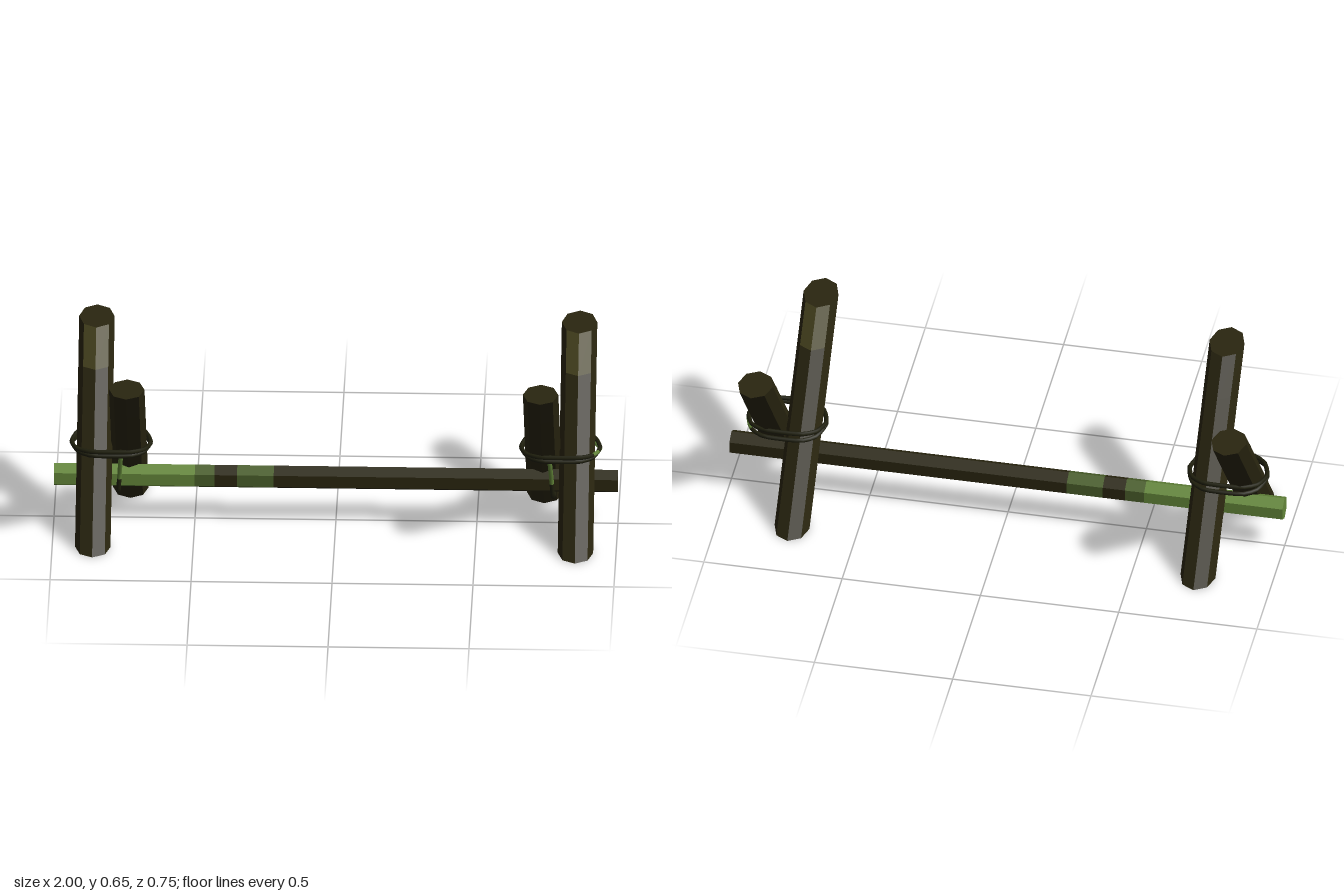
import * as THREE from 'three';

const mat = (name, color) => Object.assign(new THREE.MeshStandardMaterial({ color }), { name });

export function createModel() {
  const model = new THREE.Group();
  model.name = 'logBarrier';
  const bark = mat('darkBark', 0x2a2610);
  const worn = mat('wornBark', 0x48441f);
  const moss = mat('moss', 0x64873a);
  const dullMoss = mat('dullMoss', 0x4a5f2a);
  const rope = mat('rope', 0x1f1f0d);
  const palette = [bark, worn, moss, dullMoss];

  // Closed prism through matching rings; colourOf(segment, side) gives a palette index
  function prism(name, rings, colourOf, caps = [0, 0]) {
    const buckets = palette.map(() => []);
    const n = rings[0].length;
    const tri = (c, ...pts) => pts.forEach((p) => buckets[c].push(...p));
    for (let s = 0; s < rings.length - 1; s++) {
      const [a, b] = [rings[s], rings[s + 1]];
      for (let i = 0; i < n; i++) {
        const j = (i + 1) % n, c = colourOf(s, i);
        tri(c, a[i], a[j], b[j]);
        tri(c, a[i], b[j], b[i]);
      }
    }
    const first = rings[0], last = rings[rings.length - 1];
    for (let i = 1; i < n - 1; i++) {
      tri(caps[0], first[0], first[i + 1], first[i]);
      tri(caps[1], last[0], last[i], last[i + 1]);
    }
    const g = new THREE.BufferGeometry();
    g.setAttribute('position', new THREE.Float32BufferAttribute(buckets.flat(), 3));
    let start = 0;
    buckets.forEach((b, k) => {
      if (b.length) g.addGroup(start, b.length / 3, k);
      start += b.length / 3;
    });
    g.computeVertexNormals();
    const mesh = new THREE.Mesh(g, palette);
    mesh.name = name;
    model.add(mesh);
  }

  // Leaning octagonal log with level ends; lean = z direction of its top
  function log(name, x, lean, patched) {
    const rings = [0, 0.53, 0.652].map((y) =>
      Array.from({ length: 8 }, (_, i) => {
        const a = (i * Math.PI) / 4;
        const dz = 0.085 * Math.cos(a);
        const tilt = y > 0.6 ? 0.003 * lean * Math.cos(a) : 0;
        return [x + 0.063 * Math.sin(a), y + tilt, lean * (0.803 * y - 0.236) + dz];
      }));
    const upper = lean < 0 ? [7, 0] : [3, 4];
    prism(name, rings, (s, i) => (patched && s === 1 && upper.includes(i) ? 1 : 0));
  }
  log('leftOuterLog', 0.856, -1, true);
  log('leftInnerLog', 0.734, 1, true);
  log('rightOuterLog', -0.856, -1, true);
  log('rightInnerLog', -0.734, 1, false);

  // Hexagonal rail, mossy towards one end
  const stops = [-1, -0.5, -0.43, -0.35, -0.22, 1];
  const railColours = [2, 3, 0, 3, 0];
  const rail = stops.map((x) =>
    Array.from({ length: 6 }, (_, i) => {
      const a = (i * Math.PI) / 3;
      return [x, 0.167 + 0.044 * Math.cos(a), -0.002 + 0.044 * Math.sin(a)];
    }));
  prism('rail', rail, (s) => railColours[s], [2, 0]);

  // Closed rope loop; isGreen(u) marks its mossy stretch
  function loop(name, points, radius, isGreen = () => false) {
    const segments = 32, sides = 6;
    const curve = new THREE.CatmullRomCurve3(points, true, 'catmullrom', 0.3);
    const g = new THREE.TubeGeometry(curve, segments, radius, sides, true);
    for (let s = 0; s < segments; s++) {
      g.addGroup(s * sides * 6, sides * 6, isGreen((s + 0.5) / segments) ? 1 : 0);
    }
    const mesh = new THREE.Mesh(g, [rope, moss]);
    mesh.name = name;
    model.add(mesh);
  }

  // Lashings around each crossing and a tie holding the rail below it
  const outline = [[0.14, 0], [0.118, 0.068], [0.065, 0.1], [-0.065, 0.1], [-0.118, 0.068],
    [-0.14, 0], [-0.118, -0.068], [-0.065, -0.1], [0.065, -0.1], [0.118, -0.068]];
  const tieProfile = [[0.3, 0.098], [0.2, 0.06], [0.13, 0.047], [0.107, 0], [0.106, -0.03],
    [0.14, -0.054], [0.2, -0.05], [0.215, -0.03], [0.29, -0.01]];
  for (const side of [1, -1]) {
    const label = side > 0 ? 'left' : 'right';
    const ring = (y, slope) => outline.map(([x, z]) =>
      new THREE.Vector3(side * (0.797 + x), y + slope * z, z));
    loop(label + 'LashingA', ring(0.295, 0.13), 0.008,
      (u) => side > 0 && (u < 0.1 || u > 0.9));
    loop(label + 'LashingB', ring(0.302, -0.09), 0.008);
    loop(label + 'RailTie',
      tieProfile.map(([y, z]) => new THREE.Vector3(side * (0.76 + (0.3 - y) * 0.06), y, z)),
      0.008, (u) => u < 0.22);
  }
  return model;
}
